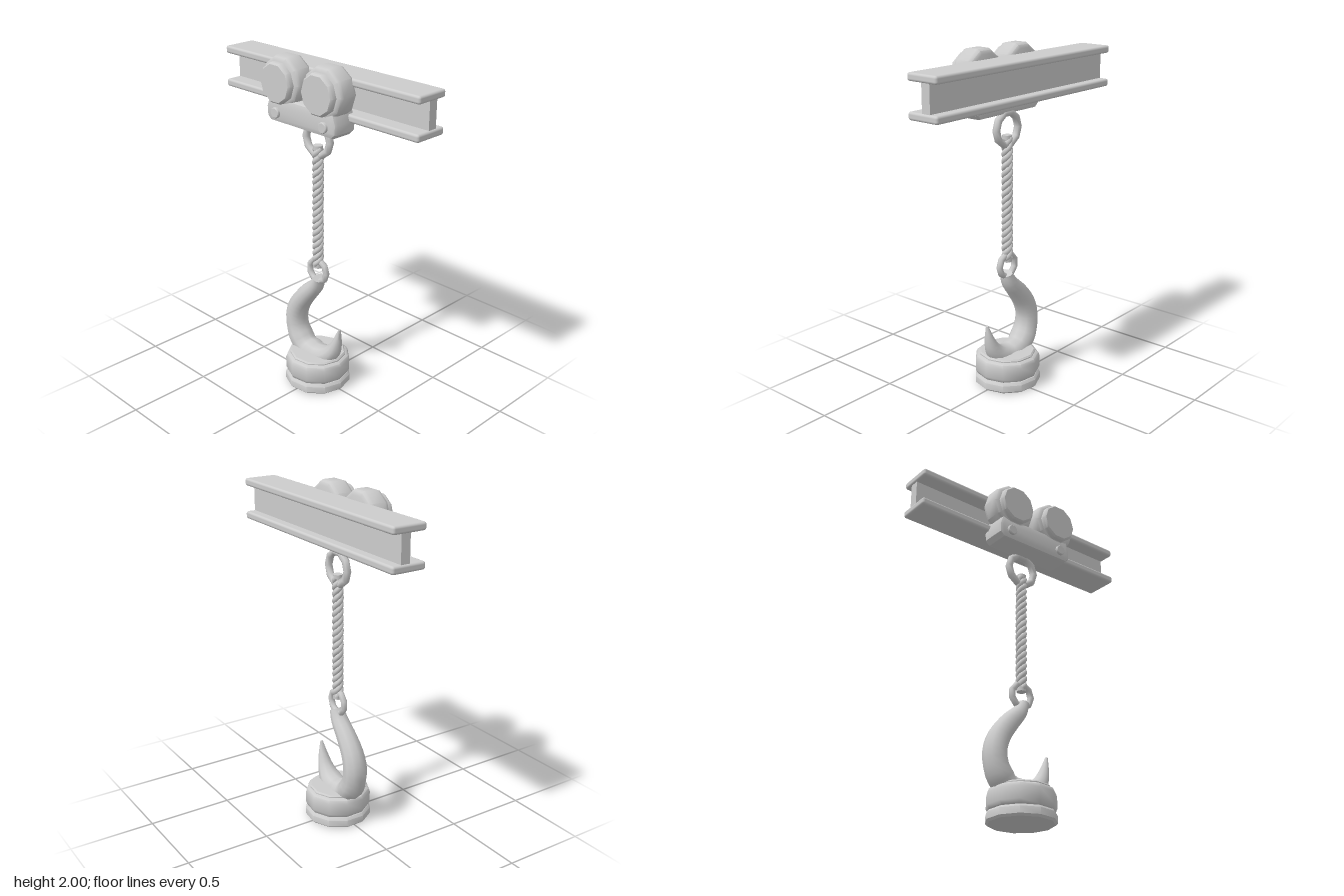
import * as THREE from 'three';
import { toCreasedNormals } from 'three/addons/utils/BufferGeometryUtils.js';
import { RoundedBoxGeometry } from 'three/addons/geometries/RoundedBoxGeometry.js';

const steel = new THREE.MeshStandardMaterial({ color: 0xcccccc });
steel.name = 'steel grey';

function add(parent, name, geometry, x = 0, y = 0, z = 0) {
  const mesh = new THREE.Mesh(geometry, steel);
  mesh.name = name;
  mesh.position.set(x, y, z);
  parent.add(mesh);
  return mesh;
}

// Turned part: [radius, height] pairs from bottom to top, with a corner on +x
function turned(profile, sides) {
  const points = profile.map(([r, h]) => new THREE.Vector2(r, h));
  return toCreasedNormals(new THREE.LatheGeometry(points, sides).rotateY(Math.PI / 2), 0.75);
}

// Flat sweep with an elliptical section: stations are [x, y, in-plane radius, z radius]
function sweptHook(stations, rings, sides) {
  const path = new THREE.CatmullRomCurve3(stations.map(([x, y]) => new THREE.Vector3(x, y, 0)));
  const size = new THREE.CatmullRomCurve3(stations.map(([, , a, b]) => new THREE.Vector3(a, b, 0)));
  const positions = [], index = [];
  for (let i = -1; i <= rings + 1; i++) {
    const t = Math.min(Math.max(i / rings, 0), 1);
    const closed = i < 0 || i > rings ? 0 : 1;
    const p = path.getPoint(t), d = path.getTangent(t), s = size.getPoint(t);
    for (let j = 0; j < sides; j++) {
      const a = (j / sides) * Math.PI * 2;
      const u = Math.cos(a) * s.x * closed, w = Math.sin(a) * s.y * closed;
      positions.push(p.x - d.y * u, p.y + d.x * u, w);
    }
  }
  for (let i = 0; i < rings + 2; i++) {
    for (let j = 0; j < sides; j++) {
      const a = i * sides + j, b = i * sides + (j + 1) % sides;
      index.push(a, b, a + sides, b, b + sides, a + sides);
    }
  }
  const geometry = new THREE.BufferGeometry();
  geometry.setAttribute('position', new THREE.Float32BufferAttribute(positions, 3));
  geometry.setIndex(index);
  return toCreasedNormals(geometry, 0.9);
}

// Bevelled plate from an outline
function plate(outline, depth, bevel) {
  const shape = new THREE.Shape(outline.map(([x, y]) => new THREE.Vector2(x, y)));
  const geometry = new THREE.ExtrudeGeometry(shape, {
    depth: depth - 2 * bevel, bevelThickness: bevel, bevelSize: bevel,
    bevelOffset: -bevel, bevelSegments: 2,
  });
  return toCreasedNormals(geometry.translate(0, 0, bevel), 0.6);
}

export function createModel() {
  const model = new THREE.Group();
  model.name = 'hoist';

  // I-beam rail
  const beam = new THREE.Group();
  beam.name = 'beam';
  model.add(beam);
  add(beam, 'topFlange', new RoundedBoxGeometry(1.46, 0.044, 0.204, 2, 0.014), 0, 1.923, -0.07);
  add(beam, 'bottomFlange', new RoundedBoxGeometry(1.46, 0.044, 0.204, 2, 0.014), 0, 1.727, -0.07);
  add(beam, 'web', new THREE.BoxGeometry(1.44, 0.17, 0.055), 0, 1.825, -0.088);

  // Trolley: housing, back plate, wheels and bolts
  const trolley = new THREE.Group();
  trolley.name = 'trolley';
  model.add(trolley);
  add(trolley, 'housing', plate([
    [-0.235, 1.63], [0.235, 1.63], [0.262, 1.655], [0.266, 1.71], [0.245, 1.77],
    [-0.245, 1.77], [-0.266, 1.71], [-0.262, 1.655],
  ], 0.16, 0.022), 0, 0, -0.02);
  add(trolley, 'backPlate', plate([
    [-0.24, 1.7], [0.24, 1.7], [0.2, 1.86], [-0.2, 1.86],
  ], 0.07, 0.02), 0, 0, -0.02);

  const wheelGeometry = turned([
    [0, 0.01], [0.118, 0.01], [0.138, 0.018], [0.147, 0.036], [0.147, 0.112],
    [0.14, 0.13], [0.122, 0.14], [0, 0.14],
  ], 10).rotateX(Math.PI / 2);
  const capGeometry = turned([
    [0, 0.13], [0.117, 0.13], [0.117, 0.165], [0.107, 0.176], [0, 0.176],
  ], 10).rotateX(Math.PI / 2);
  const boltGeometry = turned([
    [0, 0.13], [0.031, 0.13], [0.031, 0.152], [0.027, 0.156], [0, 0.156],
  ], 10).rotateX(Math.PI / 2);
  for (const side of [-1, 1]) {
    add(trolley, 'wheel', wheelGeometry, side * 0.158, 1.86, 0);
    add(trolley, 'wheelCap', capGeometry, side * 0.158, 1.86, 0);
    add(trolley, 'bolt', boltGeometry, side * 0.183, 1.686, 0);
  }

  // Rings at both ends of the rope
  add(model, 'upperRing', new THREE.TorusGeometry(0.093, 0.022, 8, 10), 0, 1.545, 0);
  add(model, 'lowerRing', new THREE.TorusGeometry(0.068, 0.019, 8, 9), 0, 0.737, 0);

  // Rope of three twisted strands
  const rope = new THREE.Group();
  rope.name = 'rope';
  model.add(rope);
  const low = 0.775, high = 1.495, turns = 6;
  for (let k = 0; k < 3; k++) {
    const points = [];
    for (let i = 0; i <= turns * 10; i++) {
      const a = (i / 10 + k / 3) * Math.PI * 2;
      const y = low + (high - low) * i / (turns * 10);
      points.push(new THREE.Vector3(Math.cos(a) * 0.017, y, -Math.sin(a) * 0.017));
    }
    const curve = new THREE.CatmullRomCurve3(points);
    add(rope, 'strand', new THREE.TubeGeometry(curve, turns * 14, 0.017, 7));
  }
  for (const y of [low, high]) {
    add(rope, 'ropeEnd', new THREE.CylinderGeometry(0.028, 0.028, 0.03, 9), 0, y, 0);
  }

  // Hook, thick at the bend and pointed at the tip
  add(model, 'hook', sweptHook([
    [0.012, 0.69, 0.03, 0.045], [-0.018, 0.63, 0.045, 0.052], [-0.09, 0.55, 0.058, 0.06],
    [-0.155, 0.46, 0.063, 0.068], [-0.182, 0.37, 0.064, 0.074], [-0.163, 0.27, 0.066, 0.076],
    [-0.1, 0.195, 0.066, 0.076], [-0.01, 0.172, 0.066, 0.076], [0.075, 0.195, 0.06, 0.07],
    [0.13, 0.25, 0.046, 0.05], [0.16, 0.32, 0.028, 0.032], [0.18, 0.41, 0.007, 0.008],
  ], 30, 10));

  // Magnet: base disc, body and top rim
  const magnet = new THREE.Group();
  magnet.name = 'magnet';
  model.add(magnet);
  add(magnet, 'magnetBase', turned([
    [0, 0], [0.184, 0], [0.197, 0.012], [0.197, 0.05], [0.184, 0.064], [0, 0.064],
  ], 11));
  add(magnet, 'magnetBody', turned([
    [0, 0.06], [0.166, 0.06], [0.185, 0.07], [0.194, 0.09], [0.194, 0.158],
    [0.186, 0.178], [0.168, 0.188], [0, 0.188],
  ], 11));
  add(magnet, 'magnetRim', turned([
    [0, 0.18], [0.168, 0.18], [0.168, 0.194], [0.16, 0.202], [0, 0.202],
  ], 11));

  return model;
}
